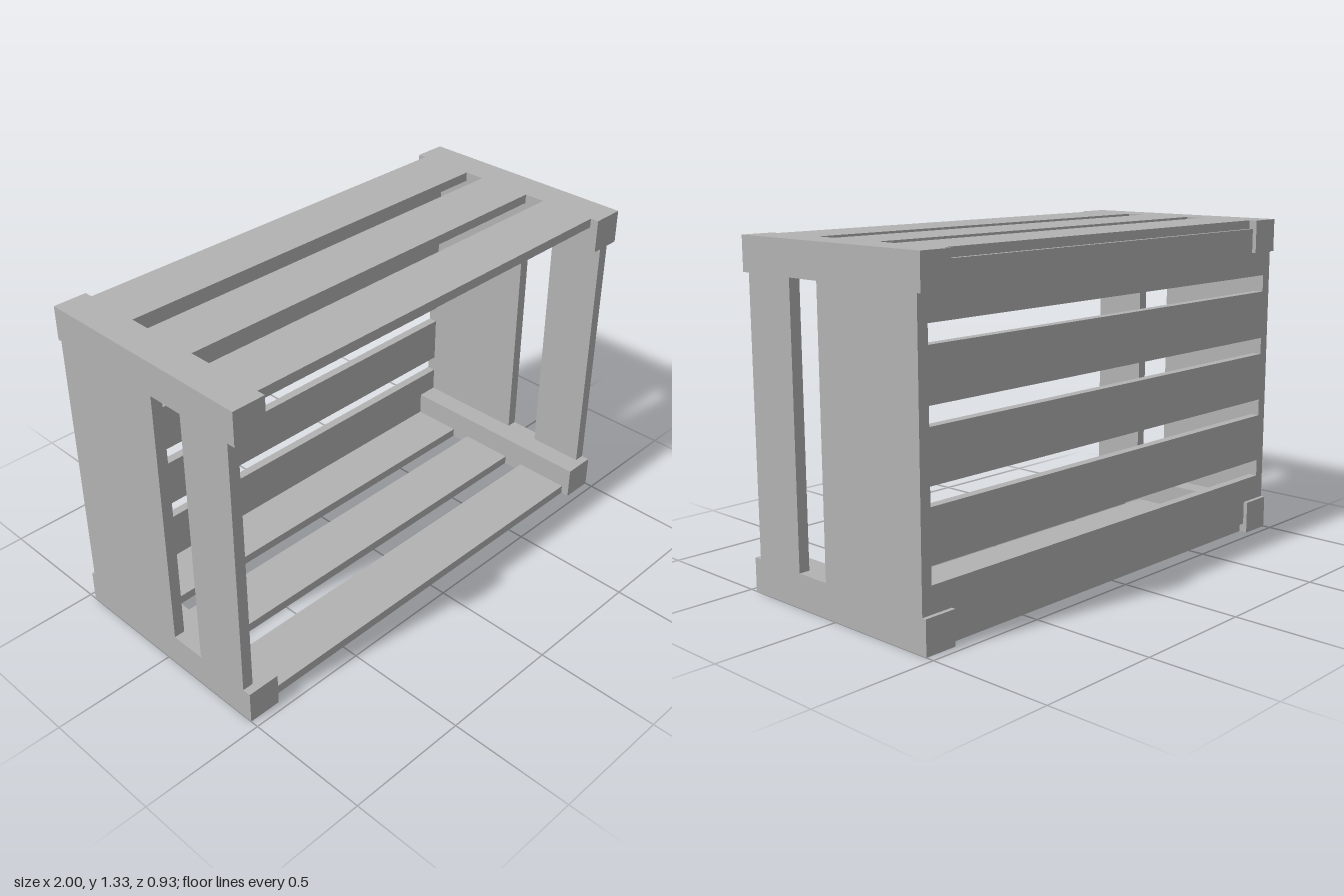
import * as THREE from 'three';

export function createModel() {
  const crate = new THREE.Group();
  crate.name = 'crate';
  const wood = new THREE.MeshStandardMaterial({ color: 0xb2b2b2 });
  wood.name = 'plain grey wood';

  // Box given by its extents on each axis
  function board(name, [x0, x1], [y0, y1], [z0, z1]) {
    const mesh = new THREE.Mesh(new THREE.BoxGeometry(x1 - x0, y1 - y0, z1 - z0), wood);
    mesh.name = name;
    mesh.position.set((x0 + x1) / 2, (y0 + y1) / 2, (z0 + z1) / 2);
    crate.add(mesh);
  }

  const H = 1.333, D = 0.467, BAR = 0.133, T = 0.037;

  // End frames: a thick rail at top and bottom, with two upright boards between
  for (const [side, s] of [['left', 1], ['right', -1]]) {
    const span = (a, b) => (s > 0 ? [a, b] : [-b, -a]);
    board(side + 'BottomRail', span(0.867, 1), [0, BAR], [-D, D]);
    board(side + 'TopRail', span(0.867, 1), [H - BAR, H], [-D, D]);
    board(side + 'FrontUpright', span(0.956, 1), [BAR, H - BAR], [0.2, 0.433]);
    board(side + 'BackUpright', span(0.956, 1), [BAR, H - BAR], [-0.45, 0.05]);
  }

  // Three long slats across the top and the bottom
  [[-0.433, -0.2], [-0.117, 0.113], [0.2, 0.433]].forEach((z, i) => {
    board('bottomSlat' + (i + 1), [-0.867, 0.867], [0, T], z);
    board('topSlat' + (i + 1), [-0.867, 0.867], [H - T, H], z);
  });

  // Five slats close the back
  for (let i = 0; i < 5; i++) {
    const y = T + i * 0.266;
    board('backSlat' + (i + 1), [-0.956, 0.956], [y, y + 0.197], [-0.45, -0.413]);
  }
  return crate;
}
